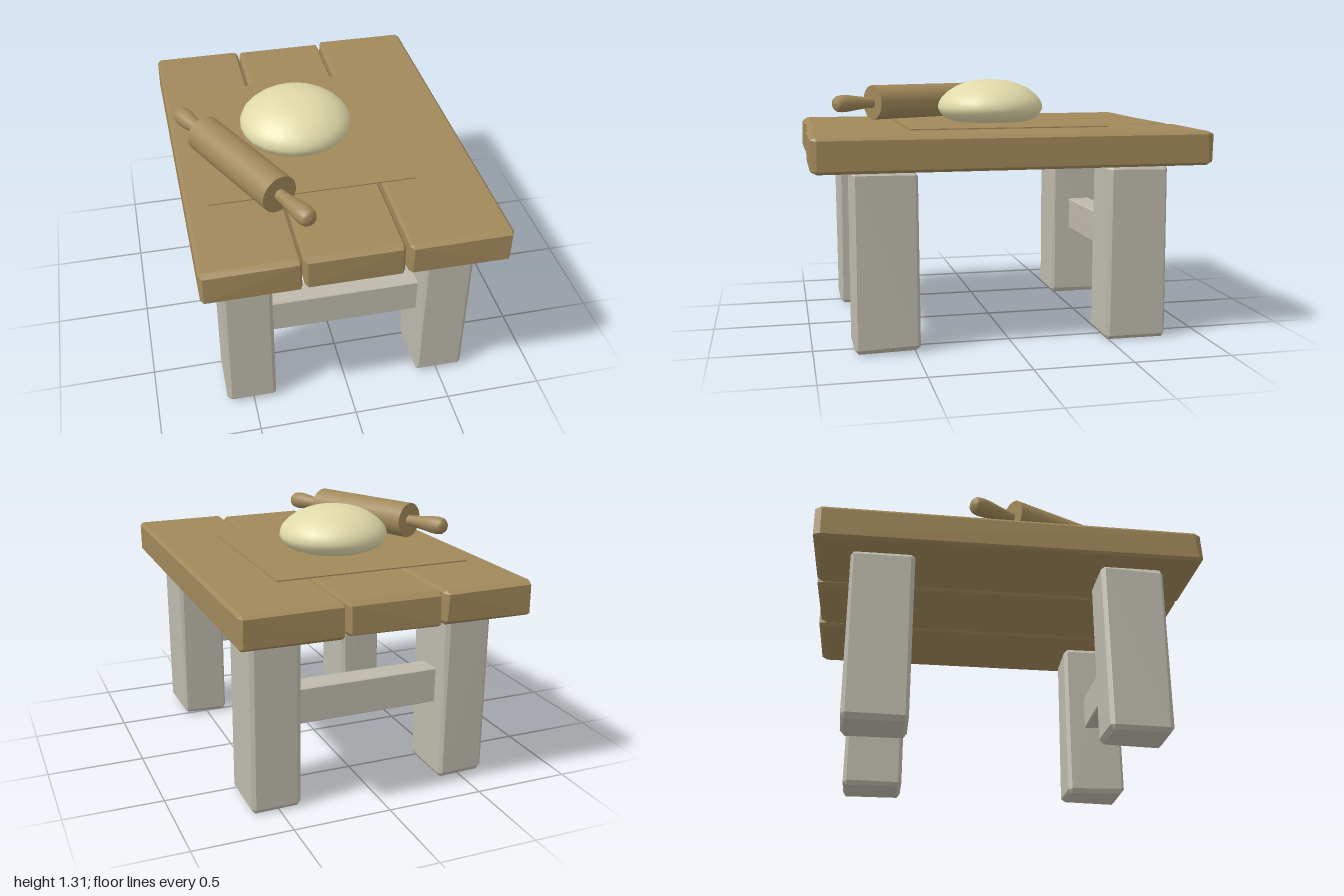
import * as THREE from 'three';
import { ConvexGeometry } from 'three/addons/geometries/ConvexGeometry.js';

const wood = new THREE.MeshStandardMaterial({ color: 0xa0885a });
wood.name = 'wood';
const stone = new THREE.MeshStandardMaterial({ color: 0xbdb9ac });
stone.name = 'pale legs';
const cream = new THREE.MeshStandardMaterial({ color: 0xe0d9a8 });
cream.name = 'dough cream';

// small seeded generator for the hand-hewn unevenness
function seeded(seed) {
  let s = seed;
  return () => (s = (s * 16807) % 2147483647) / 2147483647;
}

// rough-cut block from min to max corner, chamfered, corners pulled in a little
function hewnBlock(name, min, max, chamfer, wobble, material, seed) {
  const rand = seeded(seed * 7919 + 13);
  const mid = min.map((v, i) => (v + max[i]) / 2);
  const half = min.map((v, i) => (max[i] - v) / 2);
  const points = [];
  for (const sx of [-1, 1]) for (const sy of [-1, 1]) for (const sz of [-1, 1]) {
    const sign = [sx, sy, sz];
    const pull = sign.map(() => rand() * wobble);
    // one point on each of the three faces meeting at this corner
    for (let face = 0; face < 3; face++) {
      const p = sign.map((s, i) =>
        mid[i] + s * (half[i] - pull[i] - (i === face ? 0 : chamfer[i] * (0.7 + 0.5 * rand()))));
      points.push(new THREE.Vector3(...p));
    }
  }
  const mesh = new THREE.Mesh(new ConvexGeometry(points), material);
  mesh.name = name;
  return mesh;
}

function lathe(name, profile, sides, material) {
  const pts = profile.map(([r, y]) => new THREE.Vector2(r, y));
  const mesh = new THREE.Mesh(new THREE.LatheGeometry(pts, sides), material);
  mesh.name = name;
  return mesh;
}

export function createModel() {
  const model = new THREE.Group();
  model.name = 'bakingTable';

  // table top planks
  const planks = [
    ['rightPlank', [-0.75, 0.9, -0.99], [-0.265, 1.08, 0.99]],
    ['middlePlank', [-0.265, 0.9, -0.985], [0.225, 1.08, 0.985]],
    ['leftPlank', [0.23, 0.9, -1], [0.745, 1.084, 1]],
  ];
  planks.forEach(([name, min, max], i) =>
    model.add(hewnBlock(name, min, max, [0.016, 0.018, 0.03], 0.008, wood, i + 1)));

  // thin rolling board lying over the planks
  const board = new THREE.Mesh(new THREE.BoxGeometry(1.04, 0.006, 1.04), wood);
  board.name = 'rollingBoard';
  board.position.set(-0.11, 1.083, -0.03);
  model.add(board);

  // legs and the cross bars joining each pair
  let seed = 10;
  for (const sz of [1, -1]) {
    const z0 = sz > 0 ? 0.475 : -0.805;
    const end = sz > 0 ? 'front' : 'back';
    for (const sx of [1, -1]) {
      const x0 = sx > 0 ? 0.378 : -0.642;
      model.add(hewnBlock(end + (sx > 0 ? 'LeftLeg' : 'RightLeg'),
        [x0, 0, z0], [x0 + 0.265, 0.91, z0 + 0.33], [0.02, 0.025, 0.02], 0.009, stone, seed++));
    }
    const zb = sz * 0.65;
    model.add(hewnBlock(end + 'CrossBar',
      [-0.42, 0.397, zb - 0.065], [0.42, 0.585, zb + 0.065], [0.005, 0.006, 0.006], 0.004, stone, seed++));
  }

  // flattened ball of dough
  const doughCurve = new THREE.SplineCurve([
    [0.2, 0], [0.255, 0.022], [0.285, 0.055], [0.291, 0.085], [0.275, 0.125],
    [0.225, 0.172], [0.155, 0.208], [0.08, 0.226], [0, 0.231],
  ].map(([r, y]) => new THREE.Vector2(r, y)));
  const doughProfile = doughCurve.getPoints(20).map((p) => [Math.max(p.x, 0), p.y]);
  doughProfile[doughProfile.length - 1] = [0, 0.231];
  const dough = lathe('dough', [[0, 0], ...doughProfile], 24, cream);
  dough.position.set(-0.1, 1.084, -0.032);
  model.add(dough);

  // rolling pin: barrel with a swelling handle at each end
  const pin = new THREE.Group();
  pin.name = 'rollingPin';
  const barrel = new THREE.Mesh(new THREE.CylinderGeometry(0.097, 0.097, 0.65, 24), wood);
  barrel.name = 'pinBarrel';
  pin.add(barrel);
  for (const s of [1, -1]) {
    const handle = lathe('pinHandle', [
      [0.03, 0.31], [0.03, 0.35], [0.038, 0.42], [0.046, 0.48], [0.048, 0.52],
      [0.044, 0.55], [0.032, 0.566], [0, 0.572],
    ], 16, wood);
    if (s < 0) handle.rotation.x = Math.PI;
    pin.add(handle);
  }
  pin.position.set(-0.445, 1.182, 0.312);
  pin.quaternion.setFromUnitVectors(
    new THREE.Vector3(0, 1, 0), new THREE.Vector3(0.436, 0, 0.9).normalize());
  model.add(pin);

  return model;
}
